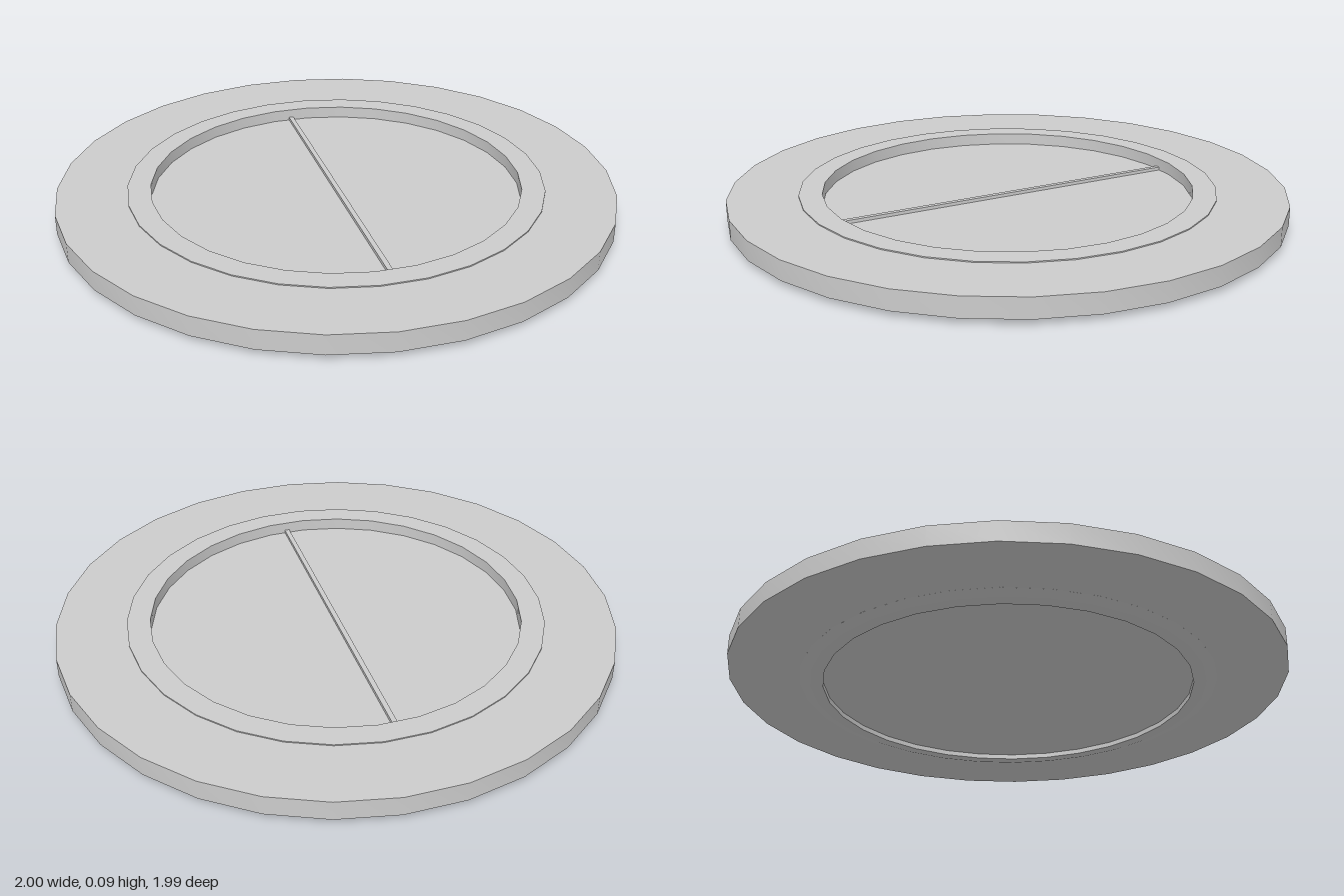
import * as THREE from 'three';
import { toCreasedNormals } from 'three/addons/utils/BufferGeometryUtils.js';

const SIDES = 30;

export function createModel() {
  const group = new THREE.Group();
  const material = new THREE.MeshStandardMaterial({ color: 0xcccccc });

  // Turns a [radius, y] profile, listed counter-clockwise, with corners on the x axis
  const turned = (name, profile) => {
    const points = profile.map(([r, y]) => new THREE.Vector2(r, y));
    const lathe = new THREE.LatheGeometry(points, SIDES, Math.PI / 2);
    const mesh = new THREE.Mesh(toCreasedNormals(lathe, 0.4), material);
    mesh.name = name;
    group.add(mesh);
  };

  // Wide flat rim, its underside dropping slightly inwards
  turned('outerRim', [
    [0.74, 0.012], [0.82, 0.013], [1, 0.02], [1, 0.09], [0.74, 0.09],
  ]);

  // Inner collar, just proud of the rim above and stepped below
  turned('collar', [
    [0.667, 0.05], [0.667, 0], [0.71, 0], [0.75, 0.012],
    [0.75, 0.094], [0.667, 0.094], [0.667, 0.05],
  ]);

  // Sunken centre plate, recessed on both faces
  turned('centrePlate', [[0, 0.018], [0.668, 0.018], [0.668, 0.05], [0, 0.05]]);

  // Thin raised rib across the plate
  const rib = new THREE.Mesh(new THREE.BoxGeometry(0.018, 0.022, 1.33), material);
  rib.name = 'centreRib';
  rib.position.y = 0.051;
  group.add(rib);

  return group;
}
